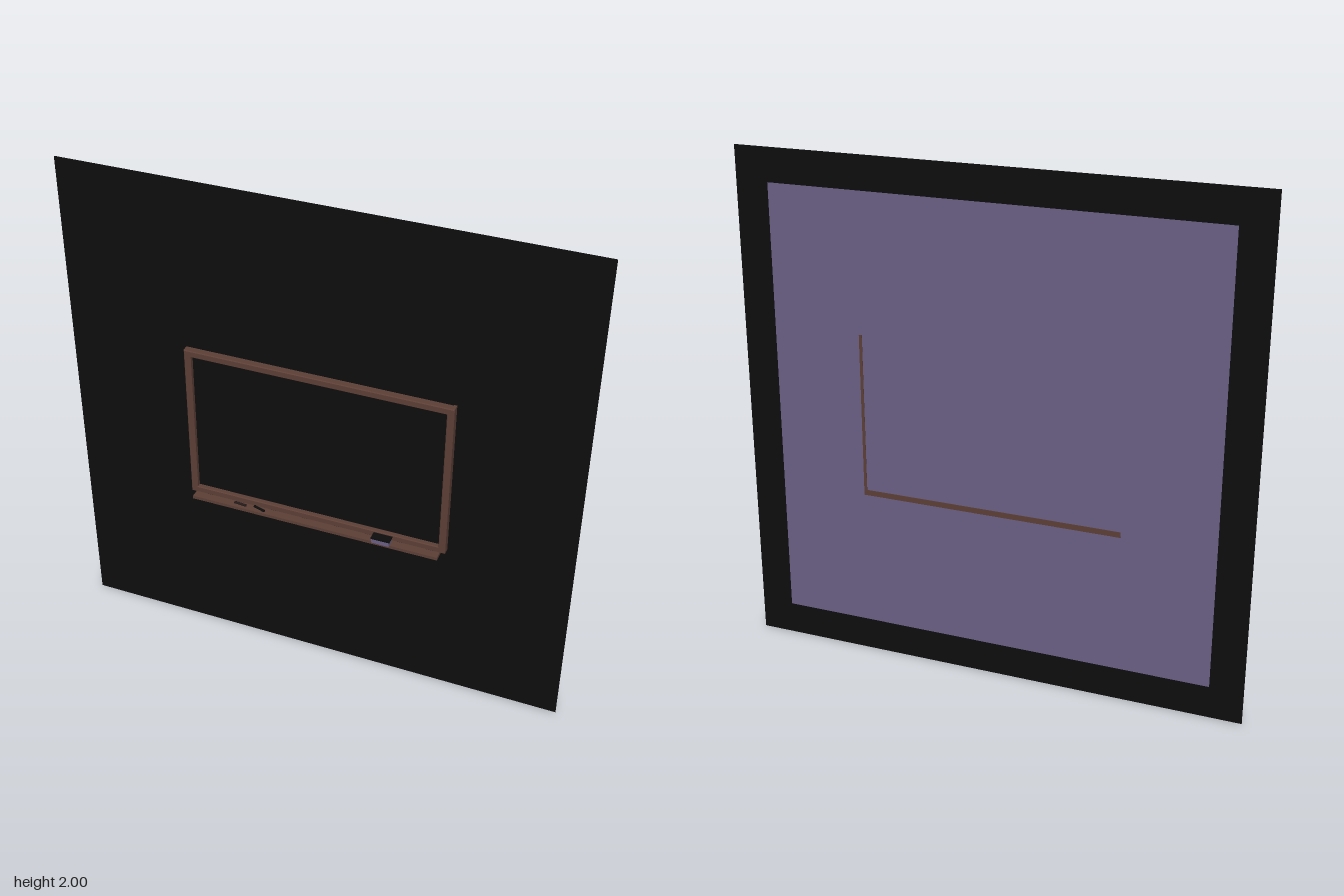
import * as THREE from 'three';

export function createModel() {
  const model = new THREE.Group();
  const material = (name, color, side = THREE.FrontSide) => {
    const m = new THREE.MeshStandardMaterial({ color, side });
    m.name = name;
    return m;
  };
  const wood = material('brown wood', 0x5d4037);
  const black = material('black', 0x0d0d0d, THREE.DoubleSide);
  const purple = material('muted purple', 0x6b5f86);
  const dark = material('dark chalk', 0x231a18);

  const add = (name, geometry, mat, x = 0, y = 0, z = 0) => {
    const mesh = new THREE.Mesh(geometry, mat);
    mesh.name = name;
    mesh.position.set(x, y, z);
    model.add(mesh);
    return mesh;
  };
  // Box given by its minimum and maximum on each axis
  const box = (name, mat, [x0, x1], [y0, y1], [z0, z1]) =>
    add(name, new THREE.BoxGeometry(x1 - x0, y1 - y0, z1 - z0), mat,
      (x0 + x1) / 2, (y0 + y1) / 2, (z0 + z1) / 2);

  // Wall sheet with a smaller panel on its back
  add('wallSheet', new THREE.PlaneGeometry(2, 2), black, 0, 1, -0.035);
  add('backPanel', new THREE.PlaneGeometry(1.74, 1.74), purple, 0, 1, -0.036).rotation.y = Math.PI;

  // Writing surface
  box('writingBoard', black, [-0.5, 0.5], [0.7, 1.31], [-0.034, -0.022]);

  // Rectangular frame with a small bevel
  const bevel = 0.003;
  const rectangle = (Type, w, h) => new Type([
    new THREE.Vector2(-w, -h), new THREE.Vector2(w, -h),
    new THREE.Vector2(w, h), new THREE.Vector2(-w, h),
  ]);
  const outline = rectangle(THREE.Shape, 0.52 - bevel, 0.325 - bevel);
  outline.holes.push(rectangle(THREE.Path, 0.493 + bevel, 0.298 + bevel));
  add('frame', new THREE.ExtrudeGeometry(outline, {
    depth: 0.03 - 2 * bevel, bevelEnabled: true,
    bevelThickness: bevel, bevelSize: bevel, bevelSegments: 1,
  }), wood, 0, 1.003, -0.034 + bevel);

  // Frame edges showing through the back
  box('backEdgeBottom', wood, [-0.51, 0.52], [0.678, 0.7], [-0.0375, -0.03]);
  box('backEdgeSide', wood, [0.508, 0.52], [0.678, 1.328], [-0.0375, -0.03]);

  // Ledge below the board
  box('ledge', wood, [-0.5, 0.5], [0.667, 0.68], [-0.03, 0.028]);

  // Eraser: felt pad below a dark grip
  box('eraserPad', purple, [0.243, 0.313], [0.68, 0.698], [0.004, 0.036]);
  box('eraserGrip', black, [0.241, 0.315], [0.698, 0.705], [0.003, 0.037]);

  // Sticks lying on the ledge
  for (const [name, mat, x, z, turn] of [
    ['chalkStick', dark, -0.305, 0.011, -0.08],
    ['markerStick', black, -0.225, 0.011, -0.3],
  ]) {
    const stick = add(name, new THREE.CylinderGeometry(0.005, 0.005, 0.05, 10), mat, x, 0.685, z);
    stick.rotation.set(0, turn, Math.PI / 2);
  }
  return model;
}
